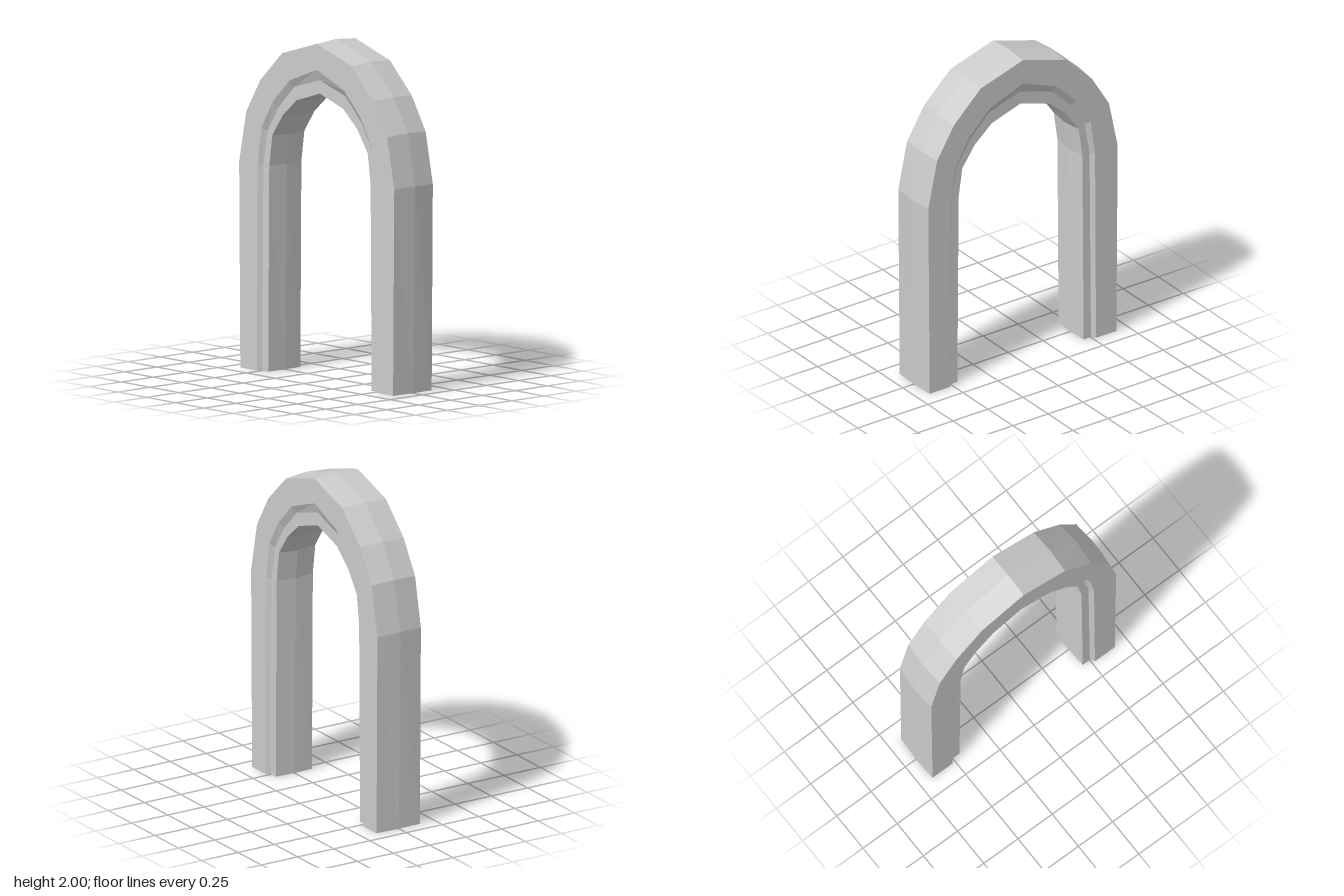
import * as THREE from 'three';

// Rails running up one leg to the crown, as [x, y] at six stations
const outerRidge = [[0.672, 0], [0.688, 1.22], [0.624, 1.523], [0.502, 1.722], [0.307, 1.907], [0, 2]];
const outerEdge = [[0.665, 0], [0.675, 1.215], [0.613, 1.514], [0.492, 1.712], [0.302, 1.895], [0, 1.988]];
const stepOuter = [[0.52, 0], [0.514, 1.215], [0.481, 1.435], [0.383, 1.6], [0.238, 1.742], [0, 1.835]];
const stepInner = [[0.502, 0], [0.492, 1.213], [0.456, 1.417], [0.362, 1.565], [0.224, 1.703], [0, 1.771]];
const innerEdge = [[0.45, 0], [0.441, 1.212], [0.415, 1.395], [0.326, 1.522], [0.204, 1.627], [0, 1.692]];
const innerRidge = [[0.444, 0], [0.431, 1.21], [0.406, 1.388], [0.318, 1.511], [0.198, 1.615], [0, 1.68]];

const FACE = 0.15; // half depth of the main face
const REBATE = 0.125; // half depth of the recessed inner band

// Closed cross-section: each rail with its depth
const section = [
  [outerRidge, 0], [outerEdge, FACE], [stepOuter, FACE], [stepInner, REBATE], [innerEdge, REBATE],
  [innerRidge, 0], [innerEdge, -REBATE], [stepInner, -REBATE], [stepOuter, -FACE], [outerEdge, -FACE],
];

function archGeometry() {
  const rings = [];
  const last = outerRidge.length - 1;
  // Up the +x leg, over the crown, down the mirrored leg
  for (let i = 0; i <= last * 2; i++) {
    const k = i <= last ? i : last * 2 - i;
    const side = i <= last ? 1 : -1;
    rings.push(section.map(([rail, z]) => [rail[k][0] * side, rail[k][1], z]));
  }

  const positions = [];
  const tri = (a, b, c) => positions.push(...a, ...b, ...c);
  const n = section.length;

  // Faces between neighbouring rings
  for (let i = 0; i < rings.length - 1; i++) {
    for (let j = 0; j < n; j++) {
      const m = (j + 1) % n;
      const a = rings[i][j], b = rings[i + 1][j], c = rings[i + 1][m], d = rings[i][m];
      tri(a, b, c);
      tri(a, c, d);
    }
  }

  // Feet
  const first = rings[0], end = rings[rings.length - 1];
  for (let j = 0; j < n; j++) {
    const m = (j + 1) % n;
    tri([0.56, 0, 0], first[j], first[m]);
    tri([-0.56, 0, 0], end[m], end[j]);
  }

  const geometry = new THREE.BufferGeometry();
  geometry.setAttribute('position', new THREE.Float32BufferAttribute(positions, 3));
  geometry.computeVertexNormals();
  return geometry;
}

export function createModel() {
  const group = new THREE.Group();
  group.name = 'archway';
  const material = new THREE.MeshStandardMaterial({ color: 0xcccccc, flatShading: true });
  const arch = new THREE.Mesh(archGeometry(), material);
  arch.name = 'archFrame';
  group.add(arch);
  return group;
}
